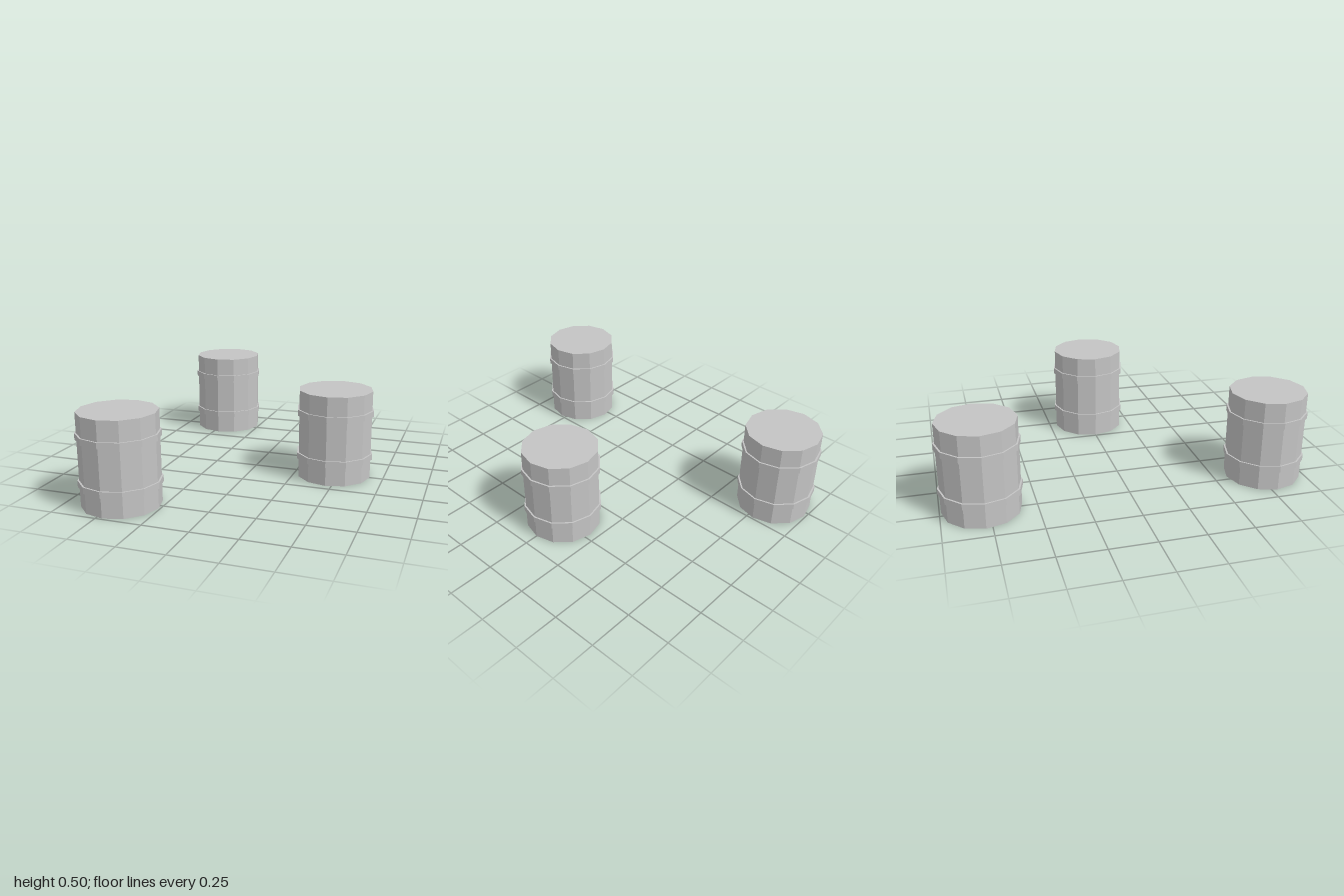
import * as THREE from 'three';

const SIDES = 12;
const HEIGHT = 0.5;
const BODY_RADIUS = 0.208;
const BAND_RADIUS = 0.217;
const BAND_HEIGHT = 0.034;

export function createModel() {
  const model = new THREE.Group();
  model.name = 'barrels';

  const grey = new THREE.MeshStandardMaterial({ color: 0xc4c4c4, flatShading: true });
  grey.name = 'grey metal';

  const bodyGeometry = new THREE.CylinderGeometry(BODY_RADIUS, BODY_RADIUS, HEIGHT, SIDES);
  const bandGeometry = new THREE.CylinderGeometry(BAND_RADIUS, BAND_RADIUS, BAND_HEIGHT, SIDES);

  function addPart(parent, name, geometry, y) {
    const mesh = new THREE.Mesh(geometry, grey);
    mesh.name = name;
    mesh.position.y = y;
    parent.add(mesh);
  }

  // One barrel: a twelve-sided drum with two raised hoops
  function createBarrel(name, x, z) {
    const barrel = new THREE.Group();
    barrel.name = name;
    barrel.position.set(x, 0, z);
    addPart(barrel, 'body', bodyGeometry, HEIGHT / 2);
    addPart(barrel, 'lowerBand', bandGeometry, HEIGHT * 0.25);
    addPart(barrel, 'upperBand', bandGeometry, HEIGHT * 0.75);
    return barrel;
  }

  // Three barrels standing in a triangle
  model.add(
    createBarrel('leftBarrel', 0.467, 0),
    createBarrel('frontRightBarrel', -0.467, 0.783),
    createBarrel('backRightBarrel', -0.467, -0.783),
  );
  return model;
}
